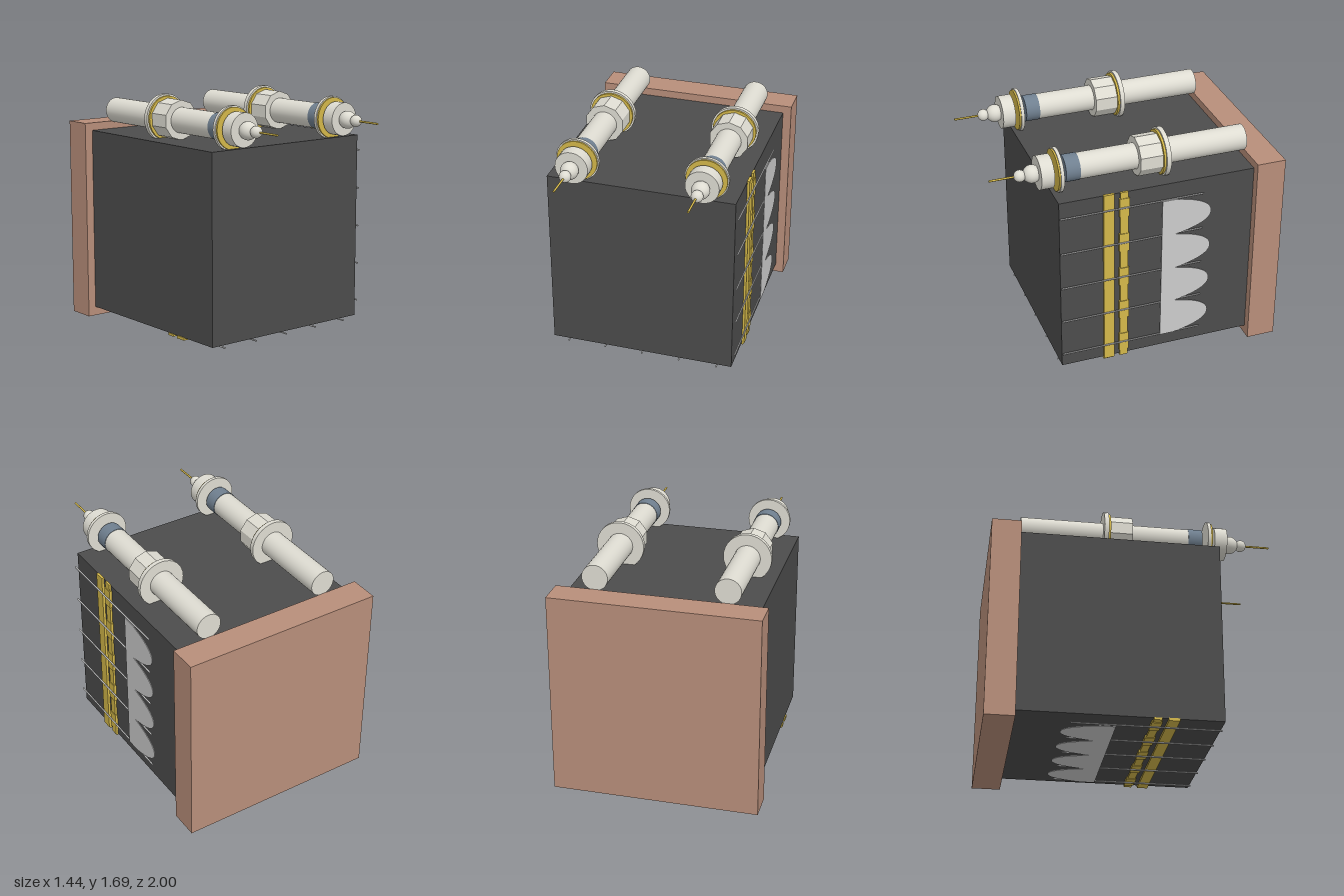
import * as THREE from 'three';

const mat = (color, opts = {}) => new THREE.MeshStandardMaterial({ color, ...opts });

export function createModel() {
  const root = new THREE.Group();
  const brown = mat(0xb88e7a), dark = mat(0x4c4c4c), gold = mat(0xd4b84a);
  const cream = mat(0xdedcd2), creamFlat = mat(0xdedcd2, { flatShading: true });
  const slate = mat(0x708090), grey = mat(0xcccccc);
  const thin = mat(0xcccccc, { side: THREE.DoubleSide });

  const add = (parent, name, geometry, material, x = 0, y = 0, z = 0) => {
    const mesh = new THREE.Mesh(geometry, material);
    mesh.name = name;
    mesh.position.set(x, y, z);
    parent.add(mesh);
    return mesh;
  };
  const box = (parent, name, w, h, d, material, x, y, z) =>
    add(parent, name, new THREE.BoxGeometry(w, h, d), material, x, y, z);
  // cylinder lying along z, from z0 to z1
  const rod = (parent, name, r, z0, z1, material, x = 0, y = 0, sides = 32) =>
    add(parent, name, new THREE.CylinderGeometry(r, r, z1 - z0, sides).rotateX(Math.PI / 2),
      material, x, y, (z0 + z1) / 2);

  // main block and back plate
  box(root, 'backPlate', 1.44, 1.44, 0.205, brown, 0, 0.72, -0.8975);
  box(root, 'body', 1.32, 1.32, 1.39, dark, 0, 0.725, -0.1);

  // two bushings lying on the top
  for (const x of [-0.45, 0.45]) {
    const bushing = new THREE.Group();
    bushing.name = x > 0 ? 'leftBushing' : 'rightBushing';
    bushing.position.set(x, 1.52, 0);
    rod(bushing, 'tube', 0.09, -0.79, 0.41, cream);
    rod(bushing, 'tubeSleeve', 0.093, 0.4, 0.5, slate);
    rod(bushing, 'collar', 0.14, -0.165, -0.005, creamFlat, 0, 0, 10);
    rod(bushing, 'rearGoldRing', 0.155, -0.178, -0.163, gold);
    rod(bushing, 'rearFlange', 0.168, -0.21, -0.178, cream);
    rod(bushing, 'frontFlange', 0.152, 0.53, 0.553, cream);
    rod(bushing, 'frontGoldRing', 0.143, 0.553, 0.565, gold);
    rod(bushing, 'cap', 0.116, 0.585, 0.675, cream);
    add(bushing, 'largeBead', new THREE.SphereGeometry(0.062, 24, 16), cream, 0, 0, 0.71);
    add(bushing, 'smallBead', new THREE.SphereGeometry(0.041, 24, 16), cream, 0, 0, 0.792);
    rod(bushing, 'pin', 0.007, 0.8, 1, gold, 0, 0, 10);
    root.add(bushing);
  }

  // scalloped sheet outline: shape x is -z, shape y is the height from the middle
  const scallops = new THREE.Shape();
  scallops.moveTo(0.12, -0.55);
  scallops.lineTo(0.22, -0.55);
  const pitch = 0.275;
  for (let i = 0; i < 4; i++) {
    const y = -0.55 + i * pitch;
    scallops.quadraticCurveTo(0.475, y + 0.045, 0.475, y + pitch / 2);
    scallops.quadraticCurveTo(0.475, y + pitch - 0.045, 0.22, y + pitch);
  }
  scallops.lineTo(0.12, 0.55);
  scallops.closePath();
  const sheet = new THREE.ExtrudeGeometry(scallops, { depth: 0.006, bevelEnabled: false, curveSegments: 12 });
  sheet.rotateY(Math.PI / 2);

  // strips, rods and sheet on one face, repeated on the left side and underneath
  const facePanel = (name, turn) => {
    const panel = new THREE.Group();
    panel.name = name;
    panel.position.y = 0.725;
    panel.rotation.z = turn;
    box(panel, 'wideStrip', 0.02, 1.335, 0.075, gold, 0.667, 0, 0.252);
    box(panel, 'narrowStrip', 0.016, 1.335, 0.055, gold, 0.667, 0, 0.144);
    for (let i = 0; i < 5; i++) {
      const y = -0.55 + i * pitch;
      box(panel, 'stripBlock', 0.02, 0.14, 0.07, gold, 0.669, y, 0.144);
      rod(panel, 'rib', 0.006, -0.42, 0.595, grey, 0.682, y, 8);
    }
    add(panel, 'scallopedSheet', sheet, thin, 0.689);
    root.add(panel);
  };
  facePanel('sidePanel', 0);
  facePanel('bottomPanel', -Math.PI / 2);

  return root;
}
